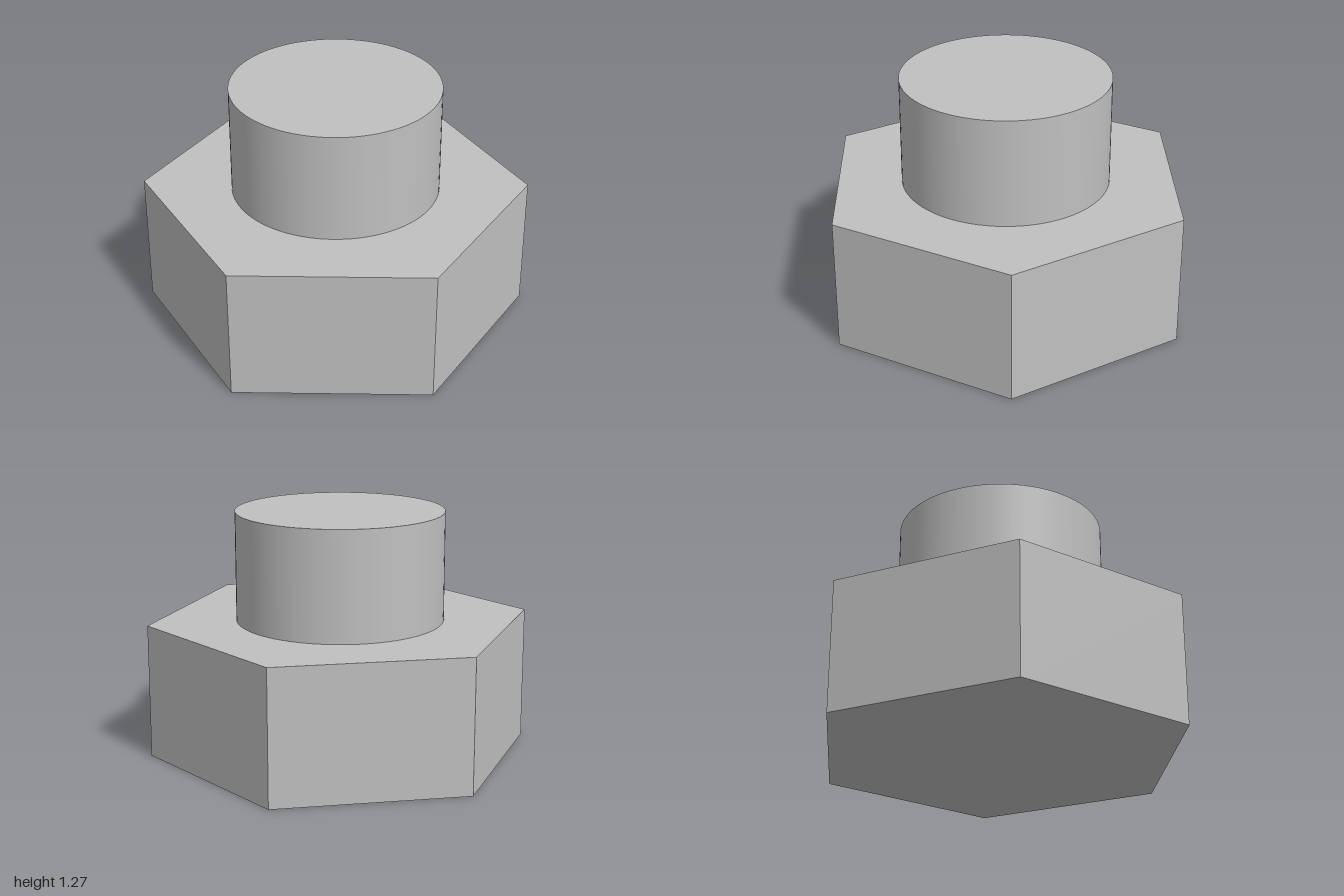
import * as THREE from 'three';

const HEAD_HEIGHT = 0.7;
const TOTAL_HEIGHT = 1.27;

export function createModel() {
  const model = new THREE.Group();
  model.name = 'hexBolt';

  const steel = new THREE.MeshStandardMaterial({ color: 0xc0c0c0 });
  steel.name = 'grey steel';
  const facetedSteel = steel.clone();
  facetedSteel.flatShading = true;

  // Upright prism or cylinder standing between two heights
  function addCylinder(name, radius, bottom, top, sides, material) {
    const geometry = new THREE.CylinderGeometry(radius, radius, top - bottom, sides);
    const mesh = new THREE.Mesh(geometry, material);
    mesh.name = name;
    mesh.position.y = (bottom + top) / 2;
    model.add(mesh);
  }

  // Hexagonal head with corners towards the front and back
  addCylinder('hexHead', 1, 0, HEAD_HEIGHT, 6, facetedSteel);

  // Smooth round shank on top of the head
  addCylinder('shank', 0.54, HEAD_HEIGHT, TOTAL_HEIGHT, 96, steel);

  return model;
}
